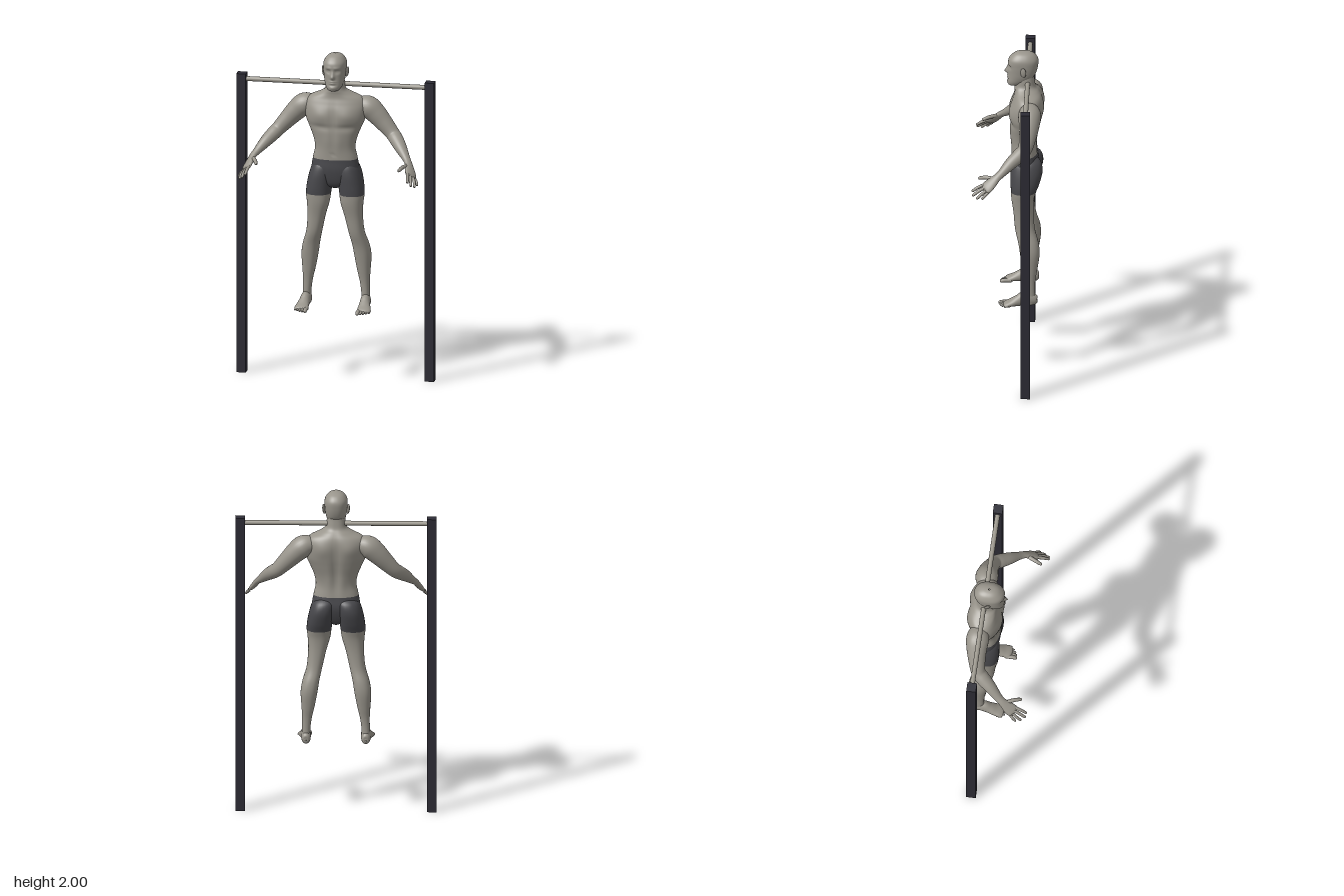
import * as THREE from 'three';
import { mergeVertices } from 'three/addons/utils/BufferGeometryUtils.js';
import { ParametricGeometry } from 'three/addons/geometries/ParametricGeometry.js';

const mat = (name, color) => {
  const m = new THREE.MeshStandardMaterial({ color });
  m.name = name;
  return m;
};

// Catmull-Rom through rows of numbers, t counted in rows
function sample(rows, t) {
  const last = rows.length - 1;
  t = Math.min(Math.max(t, 0), last);
  const i = Math.min(Math.floor(t), last - 1), f = t - i;
  const [a, b, c, d] = [rows[Math.max(i - 1, 0)], rows[i], rows[i + 1], rows[Math.min(i + 2, last)]];
  return b.map((_, k) => 0.5 * (2 * b[k] + (c[k] - a[k]) * f
    + (2 * a[k] - 5 * b[k] + 4 * c[k] - d[k]) * f * f
    + (3 * b[k] - a[k] - 3 * c[k] + d[k]) * f * f * f));
}

// Smooth closed skin from a function (angle, row, target)
function skinOver(fn, from, to, slices, perRow) {
  const g = new ParametricGeometry(
    (u, v, p) => fn((u % 1) * Math.PI * 2, from + (to - from) * v, p),
    slices, Math.ceil((to - from) * perRow));
  g.deleteAttribute('uv');
  g.deleteAttribute('normal');
  const merged = mergeVertices(g, 1e-5);
  merged.computeVertexNormals();
  return merged;
}

// Upright loft, rows: [y, centre x, half width, front z, back z]
function upright(rows, from, to, slices = 32, perRow = 5, bump = () => 0) {
  const soft = (s) => Math.sign(s) * Math.pow(Math.abs(s), 0.88);
  return skinOver((a, t, p) => {
    const [y, cx, rx, zf, zb] = sample(rows, t);
    const x = rx * soft(Math.sin(a)), c = Math.cos(a);
    p.set(cx + x, y, (zf + zb) / 2 + (zf - zb) / 2 * soft(c) + bump(x, y, c));
  }, from, to, slices, perRow);
}

// Loft along a path, rows: [x, y, z, half width, half thickness]
function limb(rows, ref, slices = 24, perRow = 5) {
  const T = new THREE.Vector3(), N = new THREE.Vector3(), B = new THREE.Vector3();
  return skinOver((a, t, p) => {
    const s = sample(rows, t), s0 = sample(rows, t - 0.05), s1 = sample(rows, t + 0.05);
    T.set(s1[0] - s0[0], s1[1] - s0[1], s1[2] - s0[2]).normalize();
    N.crossVectors(T, ref).normalize();
    B.crossVectors(T, N);
    p.set(s[0], s[1], s[2]).addScaledVector(N, s[3] * Math.cos(a)).addScaledVector(B, s[4] * Math.sin(a));
  }, 0, rows.length - 1, slices, perRow);
}

// Finger or toe from base a over middle m to tip b
function digit(a, m, b, r, ref) {
  const near = b.map((v, i) => v * 0.88 + m[i] * 0.12);
  return limb([[...a, r, r], [...m, r, r], [...near, r * 0.8, r * 0.75], [...b, r * 0.1, r * 0.1]], ref, 12, 4);
}

const bell = (x, y, cx, cy, sx, sy) => Math.exp(-(((x - cx) / sx) ** 2) - ((y - cy) / sy) ** 2);

// Chest, belly and back relief
function torsoRelief(x, y, c) {
  const ax = Math.abs(x);
  if (c > 0) {
    return c * (0.012 * bell(ax, y, 0.085, 1.625, 0.06, 0.04) - 0.008 * bell(ax, y, 0.08, 1.555, 0.07, 0.018)
      - 0.006 * bell(x, y, 0, 1.6, 0.012, 0.1) + 0.004 * bell(ax, y, 0.035, 1.47, 0.025, 0.06)
      - 0.006 * bell(x, y, 0, 1.39, 0.008, 0.008));
  }
  return -c * (0.014 * bell(x, y, 0, 1.56, 0.022, 0.15)
    - 0.012 * bell(ax, y, 0.085, 1.66, 0.05, 0.05) - 0.004 * bell(ax, y, 0.04, 1.44, 0.025, 0.06));
}

// Nose, eye sockets, brow, lips and chin
function faceRelief(x, y, c) {
  if (c <= 0) return 0;
  const ax = Math.abs(x);
  return c * (0.02 * bell(x, y, 0, 1.872, 0.011, 0.014) + 0.01 * bell(x, y, 0, 1.893, 0.008, 0.018)
    - 0.011 * bell(ax, y, 0.027, 1.905, 0.015, 0.011) + 0.005 * bell(ax, y, 0.025, 1.926, 0.022, 0.009)
    + 0.005 * bell(ax, y, 0.027, 1.904, 0.008, 0.005)
    + 0.006 * bell(x, y, 0, 1.845, 0.02, 0.005) + 0.006 * bell(x, y, 0, 1.833, 0.018, 0.005)
    - 0.004 * bell(x, y, 0, 1.822, 0.02, 0.006) + 0.004 * bell(x, y, 0, 1.806, 0.018, 0.01));
}

export function createModel() {
  const skin = mat('skin', 0x99958c);
  const cloth = mat('shorts cloth', 0x47474b);
  const postPaint = mat('post paint', 0x2d2c35);
  const steel = mat('bar steel', 0x9d998f);

  const model = new THREE.Group();
  model.name = 'pullUpBarWithAthlete';
  const add = (name, geo, material, parent = model) => {
    const m = new THREE.Mesh(geo, material);
    m.name = name;
    parent.add(m);
    return m;
  };
  // Left part as given, right part mirrored with its faces turned round
  const addPair = (name, geo, material) => {
    add('left' + name, geo, material);
    const g = geo.clone().scale(-1, 1, 1);
    g.index.array.reverse();
    g.computeVertexNormals();
    add('right' + name, g, material);
  };

  // Frame
  addPair('Post', new THREE.BoxGeometry(0.057, 1.842, 0.057).translate(0.57, 0.921, -0.11), postPaint);
  add('crossbar', new THREE.CylinderGeometry(0.0145, 0.0145, 1.1, 24).rotateZ(Math.PI / 2).translate(0, 1.807, -0.11), steel);

  // Torso from crotch to neck, split at the waistband
  const torso = [
    [1.17, 0, 0.02, -0.07, -0.12], [1.20, 0, 0.09, -0.03, -0.15], [1.28, 0, 0.14, -0.012, -0.175],
    [1.355, 0, 0.134, -0.013, -0.168], [1.42, 0, 0.121, -0.012, -0.163], [1.48, 0, 0.13, -0.008, -0.17],
    [1.55, 0, 0.157, -0.004, -0.187], [1.60, 0, 0.178, -0.003, -0.197], [1.66, 0, 0.186, -0.008, -0.202],
    [1.70, 0, 0.18, -0.02, -0.201], [1.73, 0, 0.155, -0.03, -0.193], [1.755, 0, 0.10, -0.032, -0.178],
    [1.78, 0, 0.064, -0.03, -0.158], [1.82, 0, 0.056, -0.035, -0.15], [1.87, 0, 0.05, -0.045, -0.145],
  ];
  add('torso', upright(torso, 3, 14, 64, 6, torsoRelief), skin);
  add('shortsHips', upright(torso, 0, 3, 64, 6, torsoRelief), cloth);

  // Head
  add('head', upright([
    [1.782, 0, 0.01, -0.008, -0.04], [1.789, 0, 0.033, 0.006, -0.07], [1.81, 0, 0.049, 0.01, -0.112],
    [1.84, 0, 0.059, 0.007, -0.145], [1.87, 0, 0.064, 0.006, -0.161], [1.91, 0, 0.068, 0.006, -0.171],
    [1.95, 0, 0.067, 0.004, -0.172], [1.98, 0, 0.05, -0.02, -0.152], [1.995, 0, 0.028, -0.046, -0.122],
    [2.0, 0, 0.003, -0.08, -0.088],
  ], 0, 9, 72, 8, faceRelief), skin);
  addPair('Ear', new THREE.SphereGeometry(1, 16, 12).scale(0.008, 0.031, 0.018)
    .rotateY(-0.35).rotateZ(-0.12).translate(0.072, 1.888, -0.085), skin);

  // Legs, split at the hem of the shorts
  const leg = [
    [0.45, 0.179, 0.026, -0.09, -0.162], [0.52, 0.177, 0.025, -0.09, -0.157], [0.59, 0.172, 0.029, -0.088, -0.16],
    [0.66, 0.166, 0.039, -0.08, -0.172], [0.75, 0.16, 0.05, -0.068, -0.184], [0.82, 0.149, 0.05, -0.057, -0.178],
    [0.90, 0.128, 0.047, -0.038, -0.156], [1.0, 0.112, 0.054, -0.028, -0.146], [1.08, 0.102, 0.067, -0.016, -0.149],
    [1.135, 0.101, 0.074, -0.012, -0.163], [1.19, 0.095, 0.076, -0.01, -0.184], [1.26, 0.083, 0.074, -0.011, -0.2],
    [1.315, 0.07, 0.066, -0.022, -0.188], [1.345, 0.06, 0.04, -0.05, -0.15],
  ];
  addPair('Leg', upright(leg, 0, 9, 32, 5), skin);
  addPair('ShortsLeg', upright(leg, 9, 13, 32, 6), cloth);

  // Feet and toes
  const up = new THREE.Vector3(0, 1, 0);
  addPair('Foot', limb([
    [0.178, 0.457, -0.172, 0.004, 0.005], [0.178, 0.458, -0.165, 0.02, 0.026], [0.178, 0.466, -0.14, 0.028, 0.041],
    [0.18, 0.472, -0.10, 0.03, 0.046], [0.183, 0.46, -0.06, 0.033, 0.035], [0.187, 0.448, -0.02, 0.039, 0.023],
    [0.189, 0.441, 0.01, 0.041, 0.016], [0.189, 0.437, 0.026, 0.03, 0.01], [0.189, 0.437, 0.031, 0.004, 0.003],
  ], up), skin);
  for (let i = 0; i < 5; i++) {
    const x = 0.158 + i * 0.0155 + (i ? 0.003 : 0), r = i ? 0.0085 - i * 0.0004 : 0.012;
    const tip = 0.06 - 0.0022 * i * i;
    addPair('Toe' + (i + 1), digit([x, 0.438, -0.01], [x, 0.438, tip - 0.025], [x, 0.432, tip], r, up), skin);
  }

  // Arms with palms
  const palm = new THREE.Vector3(0.64, 0.65, 0.28);
  addPair('Arm', limb([
    [0.10, 1.672, -0.122, 0.03, 0.03], [0.15, 1.675, -0.124, 0.056, 0.054], [0.195, 1.665, -0.126, 0.068, 0.066],
    [0.24, 1.627, -0.125, 0.062, 0.062], [0.29, 1.574, -0.118, 0.052, 0.053], [0.345, 1.514, -0.102, 0.043, 0.043],
    [0.375, 1.485, -0.07, 0.043, 0.041], [0.41, 1.45, -0.022, 0.037, 0.035], [0.45, 1.405, 0.03, 0.026, 0.023],
    [0.47, 1.382, 0.06, 0.025, 0.018], [0.483, 1.355, 0.09, 0.034, 0.017], [0.495, 1.33, 0.118, 0.039, 0.015],
    [0.50, 1.318, 0.133, 0.032, 0.01], [0.502, 1.313, 0.139, 0.004, 0.003],
  ], palm, 28, 6), skin);

  // Fingers and thumb: base, middle, tip
  const digits = {
    Thumb: [[0.468, 1.374, 0.08], [0.446, 1.372, 0.128], [0.43, 1.36, 0.172], 0.0115],
    IndexFinger: [[0.475, 1.345, 0.118], [0.485, 1.327, 0.168], [0.492, 1.3, 0.21], 0.0095],
    MiddleFinger: [[0.489, 1.333, 0.118], [0.504, 1.309, 0.167], [0.512, 1.28, 0.206], 0.0095],
    RingFinger: [[0.503, 1.32, 0.115], [0.522, 1.295, 0.151], [0.53, 1.267, 0.182], 0.009],
    LittleFinger: [[0.514, 1.308, 0.108], [0.532, 1.29, 0.131], [0.541, 1.27, 0.15], 0.008],
  };
  for (const [name, [a, m, b, r]] of Object.entries(digits)) addPair(name, digit(a, m, b, r, palm), skin);

  return model;
}
